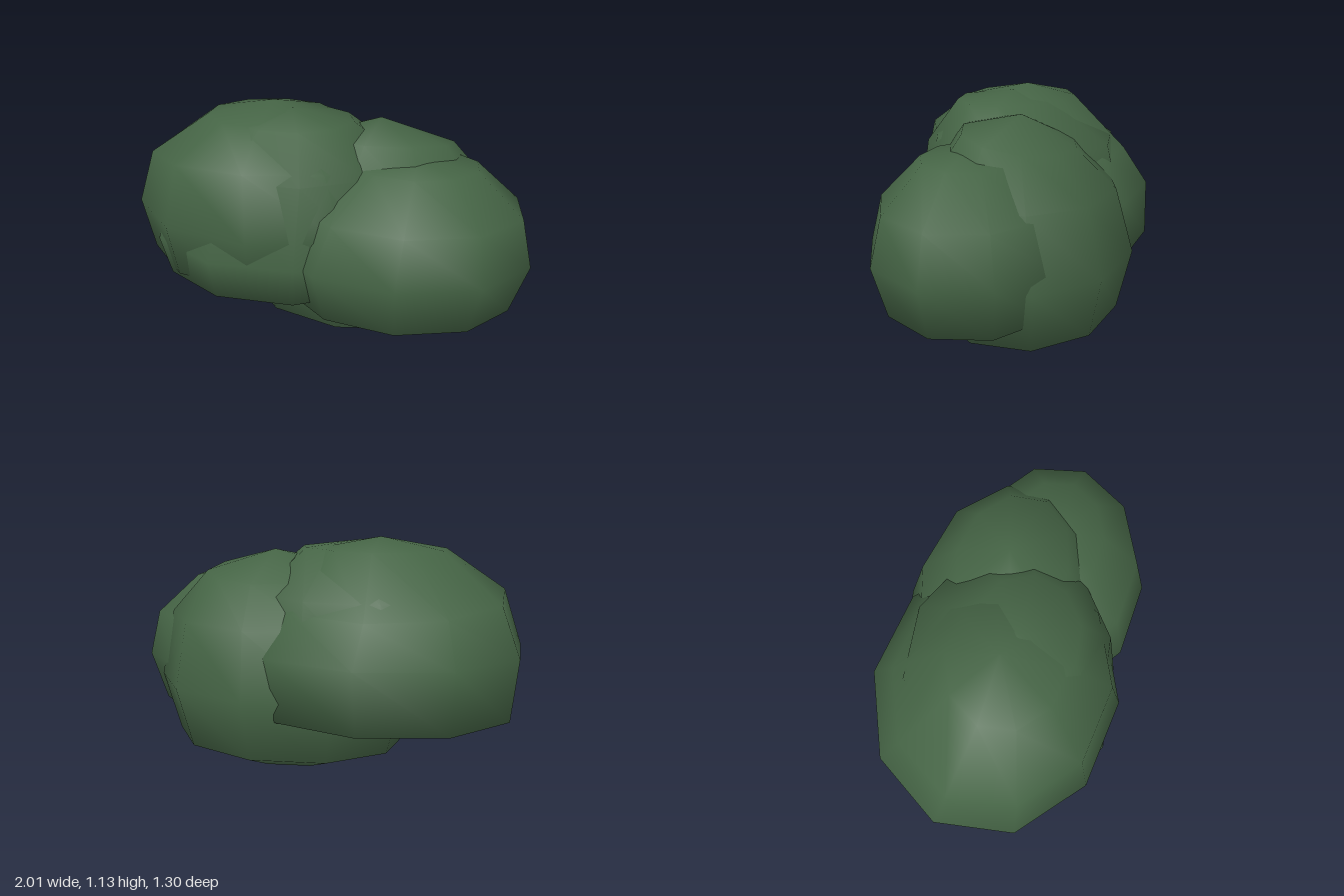
import * as THREE from 'three';
import { mergeVertices } from 'three/addons/utils/BufferGeometryUtils.js';

const SEGMENTS = 10;

// Rounded low-poly clump with a flattened underside.
// rings, top to bottom: [height, radius, x offset, z offset, forward lift]
function clump({ x, z, rx, rz, yaw, rings }) {
  let geometry = new THREE.SphereGeometry(1, SEGMENTS, rings.length - 1);
  const position = geometry.attributes.position;
  for (let i = 0; i < position.count; i++) {
    const [height, radius, dx = 0, dz = 0, lift = 0] = rings[Math.floor(i / (SEGMENTS + 1))];
    const step = (i % (SEGMENTS + 1)) % SEGMENTS;
    const angle = (step / SEGMENTS) * Math.PI * 2 + THREE.MathUtils.degToRad(yaw);
    const depth = Math.sin(angle) * rz * radius;
    position.setXYZ(
      i,
      x + dx - Math.cos(angle) * rx * radius,
      height + lift * depth,
      z + dz + depth
    );
  }
  geometry.deleteAttribute('uv');
  geometry.deleteAttribute('normal');
  geometry = mergeVertices(geometry);
  geometry.computeVertexNormals();
  return geometry;
}

export function createModel() {
  const leafGreen = new THREE.MeshStandardMaterial({ color: 0x456445 });
  leafGreen.name = 'leafGreen';

  const clumps = {
    // tall clump, steep in front and sloping at the back
    tallClump: {
      x: -0.3, z: 0, rx: 0.73, rz: 0.62, yaw: 20,
      rings: [
        [1.13, 0],
        [1.07, 0.45, 0, 0.03],
        [0.85, 0.84, -0.02, 0, 0.12],
        [0.6, 1, 0, -0.03],
        [0.31, 0.93, -0.02, -0.08],
        [0.2, 0.5, 0, -0.03],
        [0.19, 0]
      ]
    },
    // twin of the tall clump, showing at its foot and its inner shoulder
    shoulderClump: {
      x: -0.27, z: 0.01, rx: 0.68, rz: 0.57, yaw: 0,
      rings: [
        [1.11, 0, 0.08, 0.05],
        [1.07, 0.45, 0.09, 0.08],
        [0.86, 0.86, 0.05, 0.01],
        [0.47, 1],
        [0.27, 0.92],
        [0.19, 0.52],
        [0.18, 0]
      ]
    },
    // front clump
    frontClump: {
      x: 0.37, z: 0.14, rx: 0.65, rz: 0.51, yaw: -13,
      rings: [
        [0.93, 0, 0.08, 0.02],
        [0.9, 0.48, 0.06, 0],
        [0.7, 0.87, 0.03],
        [0.47, 1],
        [0.22, 0.87],
        [0.145, 0.5],
        [0.14, 0]
      ]
    },
    // rear clump that rests on the ground
    rearClump: {
      x: 0.155, z: -0.07, rx: 0.69, rz: 0.525, yaw: 13,
      rings: [
        [1.06, 0, 0.08, 0.02],
        [0.955, 0.53, 0.08, 0.03, 0.16],
        [0.74, 0.87, 0.03, 0.02, 0.05],
        [0.4, 1],
        [0.1, 0.87],
        [0.01, 0.5],
        [0, 0]
      ]
    }
  };

  const bush = new THREE.Group();
  bush.name = 'bush';
  for (const [name, settings] of Object.entries(clumps)) {
    const mesh = new THREE.Mesh(clump(settings), leafGreen);
    mesh.name = name;
    bush.add(mesh);
  }
  return bush;
}
